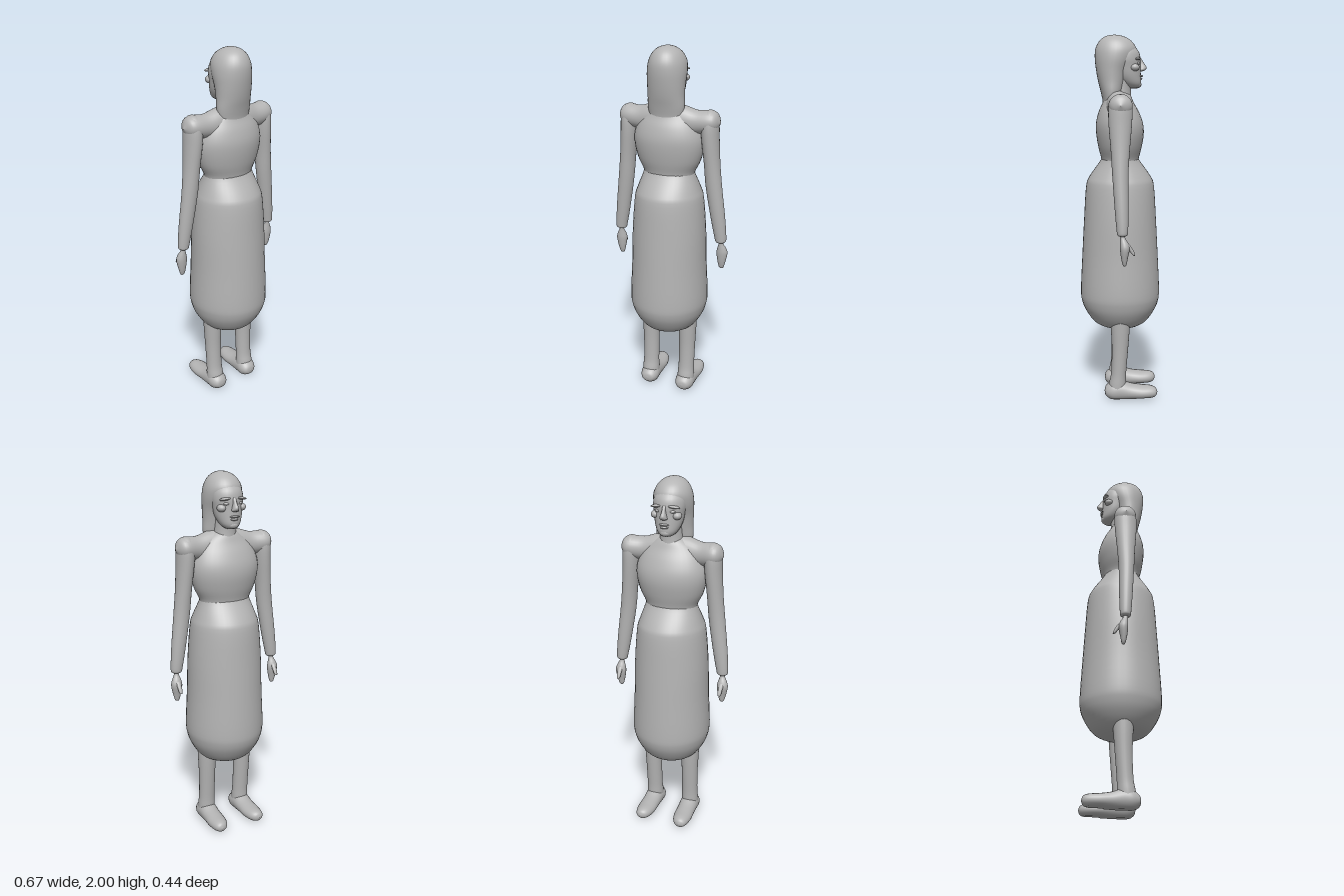
import * as THREE from 'three';

const clay = new THREE.MeshStandardMaterial({ color: 0xb4b4b4 });
clay.name = 'clay grey';

// Smooth loft through elliptical sections [x, y, z, ru, rv].
// Sections lie across the given axis: y (going up), x (going +x) or z (going -z).
const AXES = {
  y: [new THREE.Vector3(1, 0, 0), new THREE.Vector3(0, 0, 1)],
  x: [new THREE.Vector3(0, 0, 1), new THREE.Vector3(0, 1, 0)],
  z: [new THREE.Vector3(1, 0, 0), new THREE.Vector3(0, 1, 0)],
};

function loft(name, sections, axis = 'y', sides = 28) {
  const [u, v] = AXES[axis];
  const curve = (pts) => new THREE.CatmullRomCurve3(pts, false, 'catmullrom', 0.5);
  const centres = curve(sections.map((s) => new THREE.Vector3(s[0], s[1], s[2])));
  const radii = curve(sections.map((s) => new THREE.Vector3(s[3], s[4], 0)));
  const steps = (sections.length - 1) * 4;
  const position = [], index = [];
  for (let i = 0; i <= steps; i++) {
    const c = centres.getPoint(i / steps), r = radii.getPoint(i / steps);
    for (let j = 0; j < sides; j++) {
      const a = (j / sides) * Math.PI * 2;
      const p = c.clone()
        .addScaledVector(u, Math.max(r.x, 0.0005) * Math.cos(a))
        .addScaledVector(v, Math.max(r.y, 0.0005) * Math.sin(a));
      position.push(p.x, p.y, p.z);
      if (i < steps) {
        const k = i * sides + j, n = i * sides + ((j + 1) % sides);
        index.push(k, k + sides, n, n, k + sides, n + sides);
      }
    }
  }
  const g = new THREE.BufferGeometry();
  g.setAttribute('position', new THREE.Float32BufferAttribute(position, 3));
  g.setIndex(index);
  g.computeVertexNormals();
  const mesh = new THREE.Mesh(g, clay);
  mesh.name = name;
  return mesh;
}

// Stretched sphere for small facial forms
function blob(name, x, y, z, rx, ry, rz, tilt = 0) {
  const mesh = new THREE.Mesh(new THREE.SphereGeometry(1, 16, 12), clay);
  mesh.name = name;
  mesh.position.set(x, y, z);
  mesh.scale.set(rx, ry, rz);
  mesh.rotation.z = tilt;
  return mesh;
}

export function createModel() {
  const model = new THREE.Group();
  model.name = 'robedWoman';

  // Long rounded skirt narrowing into the waist
  model.add(loft('skirt', [
    [0, 0.385, 0, 0, 0], [0, 0.39, 0, 0.08, 0.08], [0, 0.42, 0, 0.145, 0.145],
    [0, 0.48, 0, 0.19, 0.19], [0, 0.54, 0, 0.213, 0.215], [0, 0.61, 0, 0.22, 0.22],
    [0, 0.8, 0, 0.211, 0.211], [0, 1.0, 0, 0.205, 0.2], [0, 1.18, 0, 0.19, 0.188],
    [0, 1.24, 0, 0.174, 0.168], [0, 1.33, 0, 0.142, 0.105], [0, 1.36, 0, 0.14, 0.1],
  ], 'y', 40));

  // Bodice swelling over the chest
  model.add(loft('bodice', [
    [0, 1.3, 0, 0.14, 0.1], [0, 1.34, 0, 0.145, 0.104], [0, 1.4, 0, 0.174, 0.119],
    [0, 1.47, 0, 0.192, 0.13], [0, 1.53, 0.003, 0.193, 0.128], [0, 1.59, 0.007, 0.173, 0.11],
    [0, 1.64, 0.01, 0.14, 0.085], [0, 1.68, 0.013, 0.09, 0.07], [0, 1.7, 0.015, 0.06, 0.05],
  ], 'y', 36));

  // Shoulder yoke running from arm to arm
  model.add(loft('shoulders', [
    [-0.285, 1.62, 0, 0, 0], [-0.265, 1.622, 0, 0.045, 0.043], [-0.23, 1.62, 0, 0.062, 0.06],
    [-0.16, 1.615, 0.01, 0.056, 0.063], [-0.09, 1.62, 0.015, 0.06, 0.078], [0, 1.625, 0.015, 0.065, 0.085],
    [0.09, 1.62, 0.015, 0.06, 0.078], [0.16, 1.615, 0.01, 0.056, 0.063],
    [0.23, 1.62, 0, 0.062, 0.06], [0.265, 1.622, 0, 0.045, 0.043], [0.285, 1.62, 0, 0, 0],
  ], 'x'));

  // Neck, head covering and face
  model.add(loft('neck', [
    [0, 1.6, 0, 0.085, 0.075], [0, 1.66, -0.002, 0.065, 0.06],
    [0, 1.72, -0.004, 0.06, 0.055], [0, 1.78, -0.01, 0.06, 0.055],
  ]));
  model.add(loft('hair', [
    [0, 1.56, 0.06, 0.06, 0.04], [0, 1.63, 0.048, 0.088, 0.045], [0, 1.69, 0.045, 0.1, 0.058],
    [0, 1.75, 0.045, 0.099, 0.073], [0, 1.81, 0.042, 0.101, 0.087], [0, 1.87, 0.03, 0.104, 0.106],
    [0, 1.92, 0.022, 0.098, 0.112], [0, 1.96, 0.024, 0.079, 0.093], [0, 1.985, 0.028, 0.052, 0.063],
    [0, 1.997, 0.03, 0.023, 0.03], [0, 2.0, 0.03, 0, 0],
  ], 'y', 32));
  const face = new THREE.Group();
  face.name = 'face';
  face.add(loft('facePlane', [
    [0, 1.716, -0.07, 0, 0], [0, 1.719, -0.07, 0.028, 0.03], [0, 1.74, -0.058, 0.053, 0.056],
    [0, 1.78, -0.04, 0.071, 0.073], [0, 1.83, -0.03, 0.08, 0.081], [0, 1.87, -0.027, 0.085, 0.084],
    [0, 1.91, -0.02, 0.08, 0.082], [0, 1.95, 0, 0.06, 0.07],
  ]));
  face.add(loft('nose', [
    [0, 1.805, -0.112, 0, 0], [0, 1.812, -0.116, 0.019, 0.018], [0, 1.828, -0.12, 0.016, 0.024],
    [0, 1.85, -0.113, 0.01, 0.017], [0, 1.875, -0.104, 0.009, 0.01], [0, 1.89, -0.1, 0, 0],
  ], 'y', 16));
  face.add(blob('upperLip', 0, 1.782, -0.112, 0.027, 0.006, 0.012));
  face.add(blob('lowerLip', 0, 1.768, -0.109, 0.023, 0.007, 0.012));
  face.add(blob('chin', 0, 1.738, -0.094, 0.03, 0.02, 0.022));
  for (const s of [-1, 1]) {
    face.add(blob('brow', s * 0.042, 1.872, -0.094, 0.036, 0.008, 0.018, s * -0.12));
    face.add(blob('eye', s * 0.037, 1.848, -0.091, 0.017, 0.009, 0.016));
    face.add(blob('cheekbone', s * 0.058, 1.825, -0.077, 0.024, 0.02, 0.026));
  }
  model.add(face);

  for (const s of [-1, 1]) {
    // Arm, from wrist up to shoulder
    const arm = new THREE.Group();
    arm.name = s > 0 ? 'leftArm' : 'rightArm';
    arm.add(loft('sleeve', [
      [s * 0.298, 0.952, -0.008, 0, 0], [s * 0.298, 0.957, -0.008, 0.026, 0.024],
      [s * 0.296, 0.985, -0.008, 0.033, 0.03], [s * 0.28, 1.1, -0.004, 0.04, 0.036],
      [s * 0.256, 1.27, 0.002, 0.044, 0.042], [s * 0.243, 1.4, 0.002, 0.043, 0.05],
      [s * 0.232, 1.52, 0.002, 0.046, 0.06], [s * 0.228, 1.6, 0.001, 0.047, 0.062],
      [s * 0.227, 1.65, 0, 0.042, 0.052], [s * 0.227, 1.676, 0, 0.022, 0.027], [s * 0.227, 1.681, 0, 0, 0],
    ], 'y', 24));
    arm.add(loft('hand', [
      [s * 0.302, 0.795, -0.02, 0, 0], [s * 0.302, 0.8, -0.02, 0.012, 0.009],
      [s * 0.303, 0.835, -0.019, 0.022, 0.017], [s * 0.304, 0.885, -0.021, 0.031, 0.025],
      [s * 0.303, 0.915, -0.018, 0.025, 0.022], [s * 0.3, 0.945, -0.01, 0.013, 0.013],
      [s * 0.298, 0.97, -0.008, 0.014, 0.014],
    ], 'y', 16));
    arm.add(loft('thumb', [
      [s * 0.301, 0.85, -0.071, 0, 0], [s * 0.301, 0.855, -0.068, 0.009, 0.007],
      [s * 0.301, 0.88, -0.053, 0.012, 0.012], [s * 0.302, 0.91, -0.03, 0.013, 0.014],
      [s * 0.302, 0.925, -0.018, 0, 0],
    ], 'y', 12));
    model.add(arm);

    // Leg and forward-pointing foot
    const leg = new THREE.Group();
    leg.name = s > 0 ? 'leftLeg' : 'rightLeg';
    leg.add(loft('shin', [
      [s * 0.112, 0.03, 0.02, 0.05, 0.05], [s * 0.112, 0.09, 0.015, 0.049, 0.047],
      [s * 0.112, 0.15, 0.009, 0.046, 0.042], [s * 0.113, 0.28, 0.002, 0.047, 0.045],
      [s * 0.114, 0.4, 0, 0.051, 0.052], [s * 0.114, 0.52, 0, 0.055, 0.058],
    ], 'y', 24));
    const foot = loft('foot', [
      [s * 0.11, 0.042, 0.088, 0, 0], [s * 0.11, 0.042, 0.08, 0.034, 0.028],
      [s * 0.111, 0.044, 0.045, 0.053, 0.052], [s * 0.112, 0.047, 0, 0.053, 0.057],
      [s * 0.113, 0.04, -0.06, 0.052, 0.044], [s * 0.115, 0.037, -0.12, 0.053, 0.038],
      [s * 0.117, 0.037, -0.17, 0.044, 0.034], [s * 0.12, 0.037, -0.198, 0.027, 0.023],
      [s * 0.121, 0.037, -0.208, 0, 0],
    ], 'z', 24);
    // Flatten the sole
    const p = foot.geometry.attributes.position;
    for (let i = 0; i < p.count; i++) p.setY(i, Math.max(p.getY(i), p.getZ(i) < -0.1 ? 0.008 : 0));
    foot.geometry.computeVertexNormals();
    leg.add(foot);
    model.add(leg);
  }
  return model;
}
